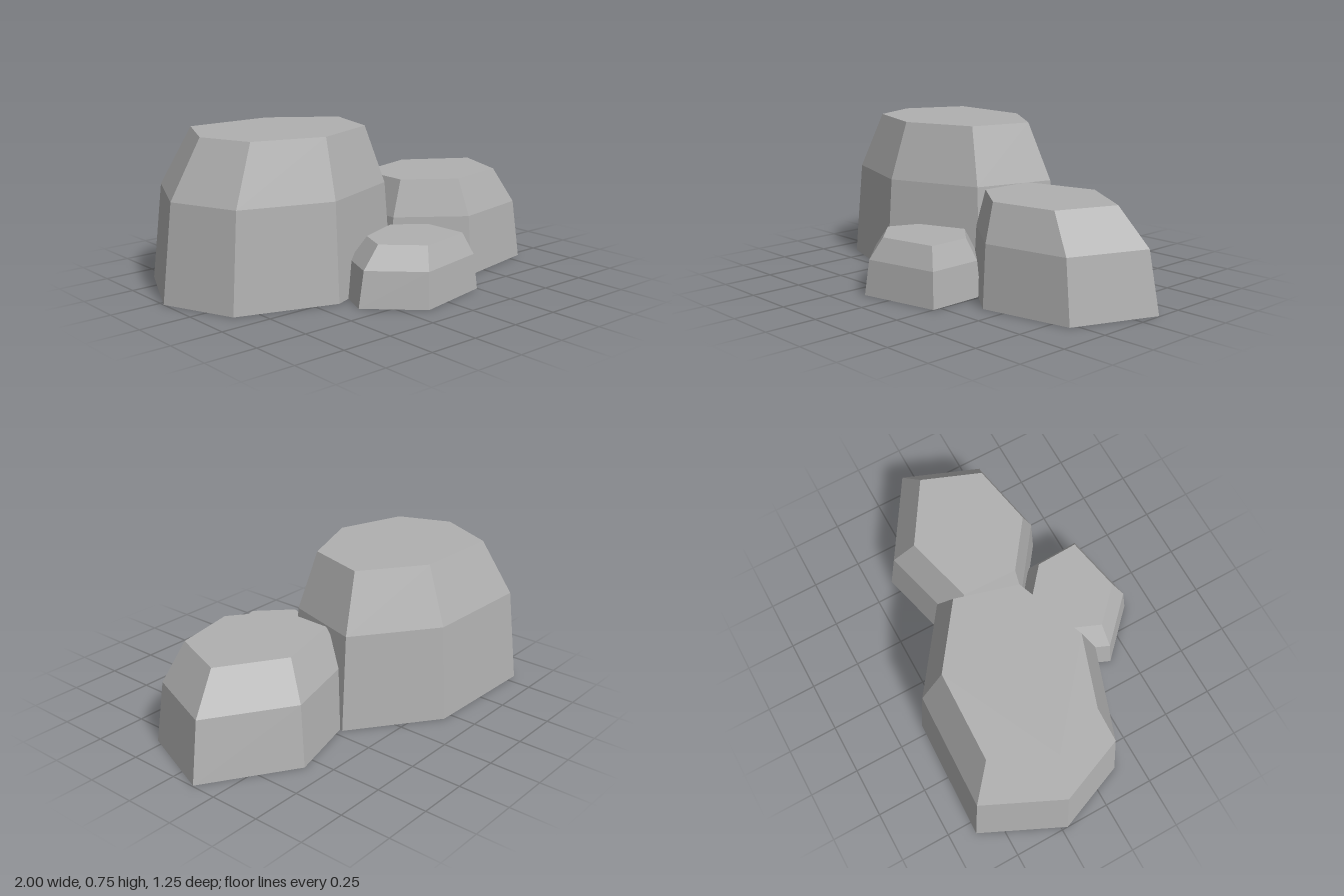
import * as THREE from 'three';

const stone = new THREE.MeshStandardMaterial({ color: 0xb0b0b0, flatShading: true });
stone.name = 'stone grey';

// Faceted boulder: a base outline [x, z] (clockwise from above) drawn in
// toward a pivot at the shoulder and again at the flat top.
function boulder(name, outline, pivot, shoulderY, topY) {
  const rings = [[0, 1], [shoulderY, 0.925], [topY, 0.71]].map(([y, s]) =>
    outline.map(([x, z]) => [pivot[0] + (x - pivot[0]) * s, y, pivot[1] + (z - pivot[1]) * s]));
  const pos = [];
  const tri = (a, b, c) => pos.push(...a, ...b, ...c);
  const n = outline.length;

  // Sloping sides
  for (let r = 0; r < 2; r++) {
    const lo = rings[r], up = rings[r + 1];
    for (let i = 0; i < n; i++) {
      const j = (i + 1) % n;
      tri(lo[i], up[i], lo[j]);
      tri(lo[j], up[i], up[j]);
    }
  }
  // Flat top and underside
  for (let i = 1; i < n - 1; i++) {
    tri(rings[2][0], rings[2][i + 1], rings[2][i]);
    tri(rings[0][0], rings[0][i], rings[0][i + 1]);
  }

  const geo = new THREE.BufferGeometry();
  geo.setAttribute('position', new THREE.Float32BufferAttribute(pos, 3));
  geo.computeVertexNormals();
  const mesh = new THREE.Mesh(geo, stone);
  mesh.name = name;
  return mesh;
}

export function createModel() {
  const group = new THREE.Group();
  group.name = 'rockCluster';
  group.add(
    boulder('largeRock',
      [[-1, -0.22], [-0.81, -0.627], [-0.2, -0.61], [0.21, -0.31], [0.09, 0.11], [-0.39, 0.29], [-0.86, 0.13]],
      [-0.31, -0.11], 0.47, 0.75),
    boulder('mediumRock',
      [[0.08, -0.26], [0.57, -0.39], [0.995, -0.12], [0.835, 0.285], [0.39, 0.37], [0.07, 0.13]],
      [0.32, 0.09], 0.295, 0.475),
    boulder('smallRock',
      [[-0.37, 0.4], [-0.286, 0.197], [0.04, 0.07], [0.24, 0.24], [0.25, 0.54], [-0.145, 0.62]],
      [0.045, 0.38], 0.17, 0.275),
  );
  return group;
}
